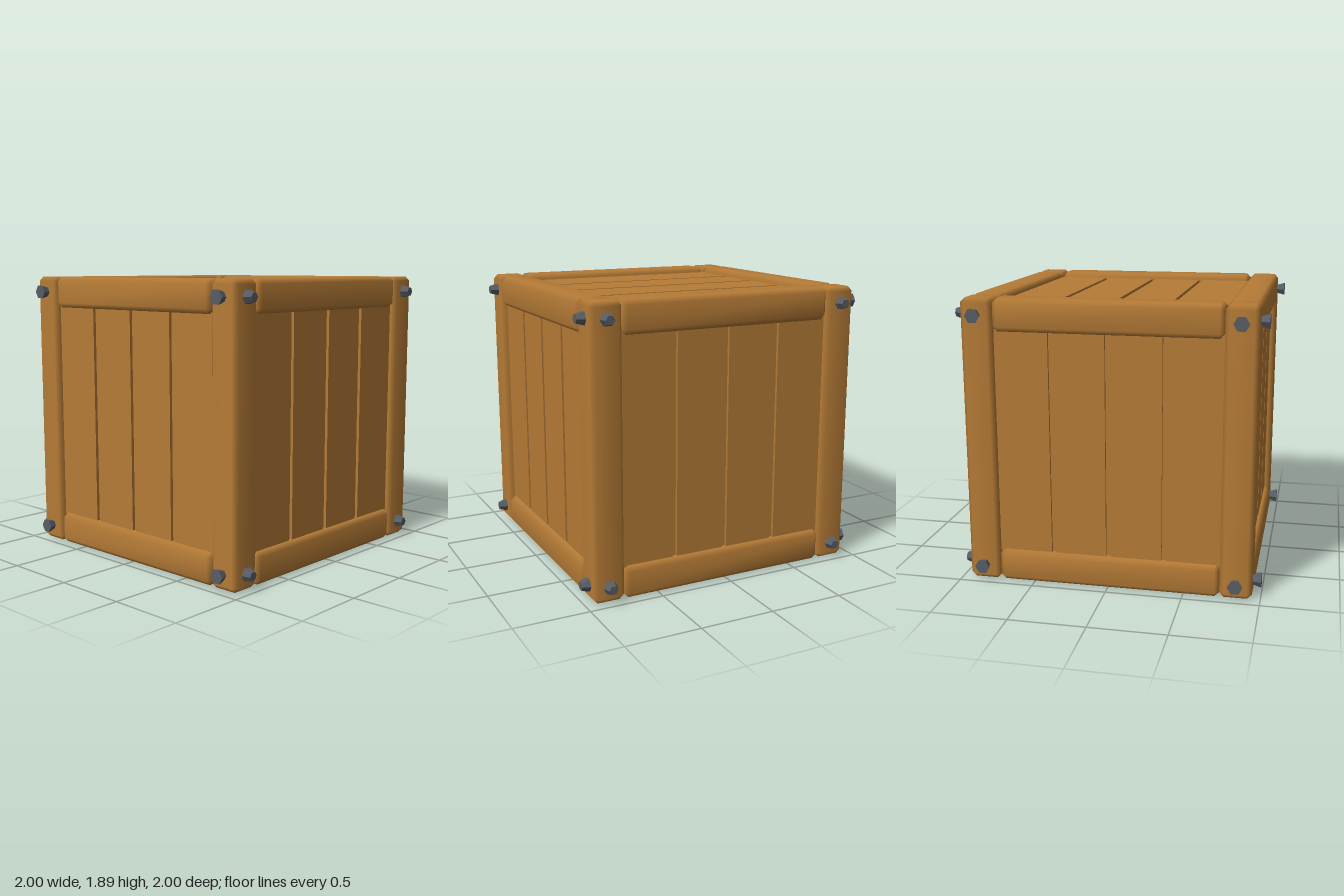
import * as THREE from 'three';
import { ConvexGeometry } from 'three/addons/geometries/ConvexGeometry.js';
import { mergeVertices } from 'three/addons/utils/BufferGeometryUtils.js';

const OUT = 0.945;   // half width of the frame
const BEAM = 0.21;   // timber thickness
const MID = OUT - BEAM / 2;
const SPAN = 2 * (OUT - BEAM);
const RECESS = 0.04; // how far the planks sit behind the frame
const GROOVE = 0.02;

// Chamfered timber whose bevels are shaded softly
function timber(w, h, d, c = 0.03) {
  const points = [];
  for (const x of [-w / 2, w / 2]) for (const y of [-h / 2, h / 2]) for (const z of [-d / 2, d / 2]) {
    const ix = x - Math.sign(x) * c, iy = y - Math.sign(y) * c, iz = z - Math.sign(z) * c;
    points.push(new THREE.Vector3(x, iy, iz), new THREE.Vector3(ix, y, iz), new THREE.Vector3(ix, iy, z));
  }
  const hull = new ConvexGeometry(points);
  hull.deleteAttribute('normal');
  const geometry = mergeVertices(hull, 1e-4);
  geometry.computeVertexNormals();
  return geometry;
}

export function createModel() {
  const wood = new THREE.MeshStandardMaterial({ color: 0xb57b36 });
  wood.name = 'wood';
  const iron = new THREE.MeshStandardMaterial({ color: 0x585d65, flatShading: true });
  iron.name = 'iron';

  const crate = new THREE.Group();
  crate.name = 'crate';
  const body = new THREE.Group(); // centred on the middle of the box
  body.name = 'crateBody';
  body.position.y = OUT;
  crate.add(body);

  function add(name, geometry, material, x, y, z, parent = body) {
    const mesh = new THREE.Mesh(geometry, material);
    mesh.name = name;
    mesh.position.set(x, y, z);
    parent.add(mesh);
    return mesh;
  }

  // Inner box: groove floors and the plain underside
  const coreSize = 2 * (OUT - RECESS - GROOVE);
  add('core', new THREE.BoxGeometry(coreSize, coreSize, coreSize), wood, 0, 0, 0);

  // Corner posts and the horizontal beams between them
  const post = timber(BEAM, 2 * OUT, BEAM);
  const beamX = timber(SPAN, BEAM, BEAM);
  const beamZ = timber(BEAM, BEAM, SPAN);
  for (const a of [-MID, MID]) for (const b of [-MID, MID]) {
    add('cornerPost', post, wood, a, 0, b);
    add('crossBeam', beamX, wood, 0, a, b);
    add('sideBeam', beamZ, wood, a, b, 0);
  }

  // Four planks on each wall and on the lid
  const pitch = SPAN / 4;
  const plank = new THREE.BoxGeometry(1, SPAN + 0.02, GROOVE + 0.02);
  function panel(name, rx, ry) {
    const group = new THREE.Group();
    group.name = name;
    group.rotation.set(rx, ry, 0);
    for (let i = 0; i < 4; i++) {
      const left = i === 0 ? -SPAN / 2 - 0.01 : (i - 2) * pitch + 0.015;
      const right = i === 3 ? SPAN / 2 + 0.01 : (i - 1) * pitch - 0.015;
      const mesh = add('plank', plank, wood, (left + right) / 2, 0, OUT - RECESS - GROOVE / 2 - 0.01, group);
      mesh.scale.x = right - left;
    }
    body.add(group);
  }
  ['frontPanel', 'leftPanel', 'backPanel', 'rightPanel'].forEach((name, i) => panel(name, 0, i * Math.PI / 2));
  panel('lidPanel', -Math.PI / 2, 0);

  // Tapered hexagonal bolts; those at -x and -z flare outwards
  const length = 0.065;
  const boltZ = new THREE.CylinderGeometry(0.03, 0.05, length, 6);
  boltZ.rotateY(Math.PI / 6).rotateX(Math.PI / 2);
  const boltX = boltZ.clone().rotateY(Math.PI / 2);
  for (const side of [-1, 1]) for (const u of [-MID, MID]) for (const y of [-MID, MID]) {
    const out = side * (1 - length / 2);
    add('bolt', boltZ, iron, u, y, out);
    add('bolt', boltX, iron, out, y, u);
  }
  return crate;
}
